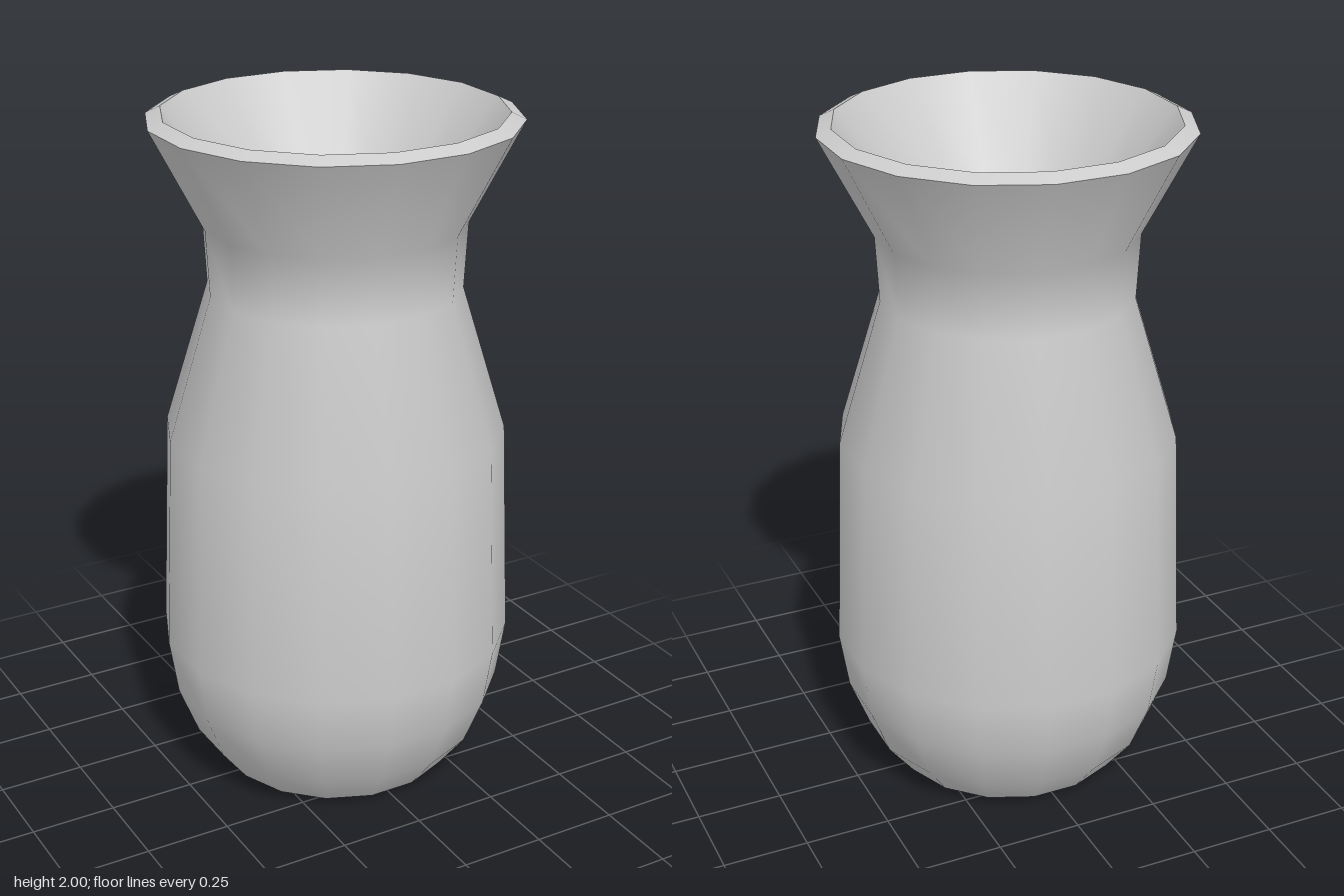
import * as THREE from 'three';

const SIDES = 16;

// Each part is one smooth run of the profile [radius, height]; shared ends keep the creases sharp.
const PARTS = {
  base: [[0, 0], [0.2, 0], [0.352, 0.02]],
  outerWall: [
    [0.352, 0.02], [0.433, 0.125], [0.49, 0.27], [0.516, 0.44], [0.49, 1.08],
    [0.362, 1.5], [0.372, 1.69], [0.521, 1.98],
  ],
  rim: [[0.521, 1.98], [0.479, 2]],
  innerFlare: [[0.479, 2], [0.287, 1.74]],
  innerWall: [
    [0.287, 1.74], [0.31, 1.5], [0.43, 1.08], [0.455, 0.44], [0.43, 0.28],
    [0.38, 0.15], [0.32, 0.08],
  ],
  innerFloor: [[0.32, 0.08], [0, 0.08]],
};

export function createModel() {
  const vase = new THREE.Group();
  vase.name = 'vase';
  const material = new THREE.MeshStandardMaterial({ color: 0xcccccc });

  for (const [name, profile] of Object.entries(PARTS)) {
    const points = profile.map(([r, y]) => new THREE.Vector2(r, y));
    // Half a step of turn puts flat facets on the front, back and sides
    const geometry = new THREE.LatheGeometry(points, SIDES, Math.PI / SIDES);
    const mesh = new THREE.Mesh(geometry, material);
    mesh.name = name;
    vase.add(mesh);
  }
  return vase;
}
